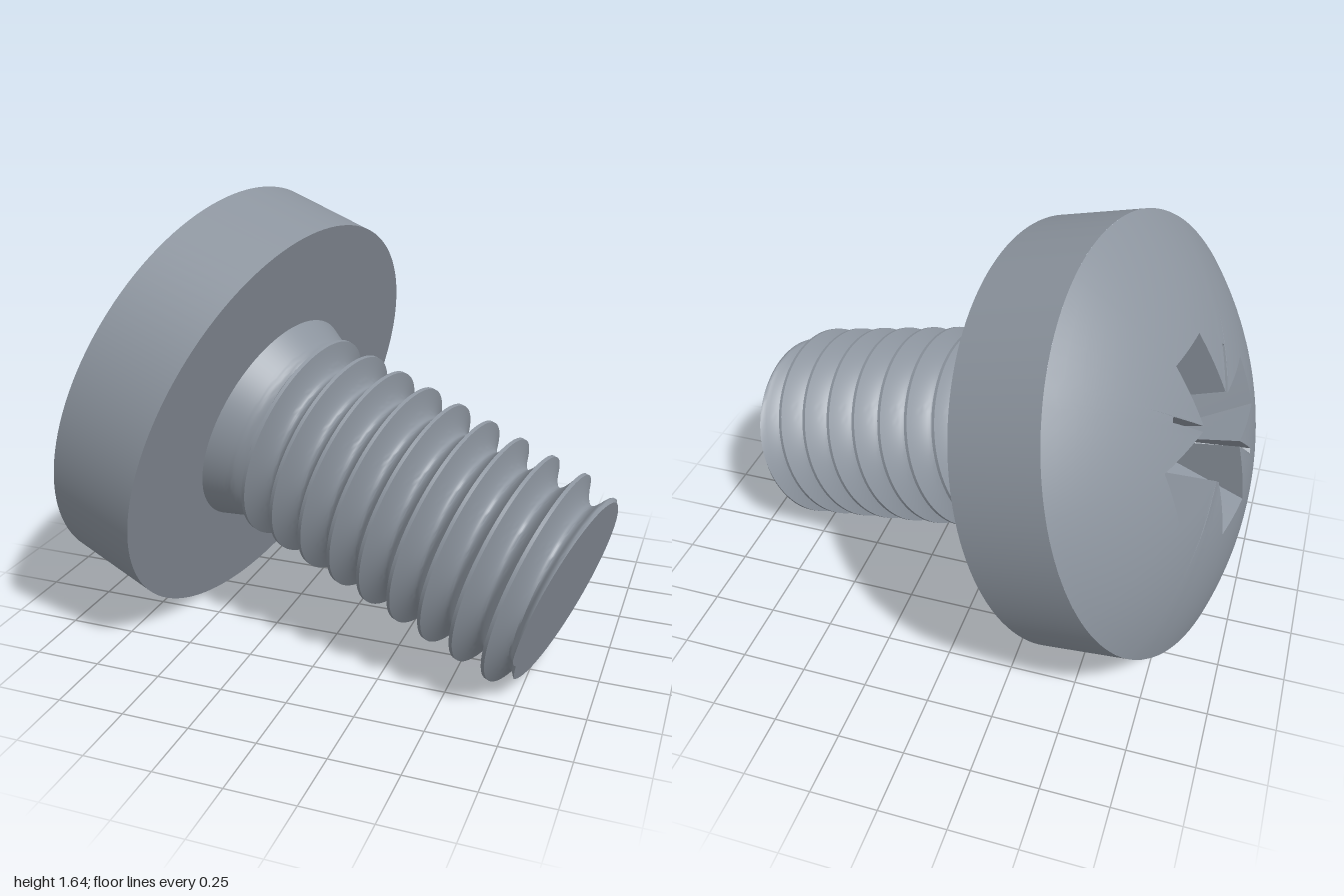
import * as THREE from 'three';
import { toCreasedNormals } from 'three/addons/utils/BufferGeometryUtils.js';

// Local frame: origin at the centre of the head's underside, +y runs along the shank to the tip
const HEAD_R = 0.806, HEAD_H = 0.355;
const DOME_R = 1.427, DOME_E = Math.sqrt(DOME_R ** 2 - HEAD_R ** 2);
const PITCH = 0.1295, CREST_R = 0.397, ROOT_R = 0.307, LENGTH = 1.295, CREST_T = 1.169;
const TAU = Math.PI * 2;

const polar = (r, phi, y) => new THREE.Vector3(r * Math.cos(phi), y, -r * Math.sin(phi));

// Surface through rows of points; rows run outward from the head's centre toward the tip
function loft(rows, crease = 0.6) {
  const cols = rows[0].length, index = [];
  const geo = new THREE.BufferGeometry().setFromPoints(rows.flat());
  for (let i = 0; i < rows.length - 1; i++) {
    for (let j = 0; j < cols - 1; j++) {
      const a = i * cols + j, b = a + 1, c = a + cols, d = c + 1;
      index.push(a, b, c, b, d, c);
    }
  }
  geo.setIndex(index);
  return toCreasedNormals(geo, crease);
}

// Cross-shaped outline with four thin diagonal slits, as [radius, angle] pairs
function crossOutline(arm, half, slit, e) {
  const corners = [];
  for (let q = 0; q < 4; q++) {
    const quarter = [[arm, -half], [arm, half], [half + 2 * e, half],
      [slit + e, slit - e], [slit - e, slit + e], [half, half + 2 * e]];
    for (const [x, y] of quarter) {
      corners.push(new THREE.Vector2(x, y).rotateAround(new THREE.Vector2(), q * Math.PI / 2));
    }
  }
  const pts = [];
  corners.forEach((p, i) => {
    const next = corners[(i + 1) % corners.length];
    for (let k = 0; k < 10; k++) {
      const m = p.clone().lerp(next, k / 10);
      pts.push([m.length(), Math.atan2(m.y, m.x)]);
    }
  });
  pts.push(pts[0]);
  return pts;
}

const domeY = (r) => -HEAD_H - (Math.sqrt(DOME_R ** 2 - r * r) - DOME_E);

// Radius of the threaded shank at angle phi and distance t from the head
function shankRadius(phi, t) {
  const p = (t - CREST_T) / PITCH - phi / TAU;
  const d = Math.abs(p - Math.round(p)) * 2;
  const s = Math.max(0, (d - 0.1) / 0.9);
  const thread = CREST_R - (CREST_R - ROOT_R) * (1 - (1 - s) ** 1.7);
  // Fillet under the head
  const fillet = 0.42 - 0.04 * Math.min(1, t / 0.09) - 0.09 * THREE.MathUtils.smoothstep(t, 0.09, 0.2);
  let r = t < 0.08 ? fillet : Math.max(thread, fillet);
  // Run-out to a round end, leaving a small notch where the groove breaks through
  const open = Math.max(0, 1 - Math.abs(phi - 2.3) / 0.3);
  const fade = THREE.MathUtils.smoothstep(t, LENGTH - 0.035, LENGTH) * 0.85 * (1 - open);
  r += (0.352 - r) * fade;
  return r;
}

export function createModel() {
  const steel = new THREE.MeshStandardMaterial({ color: 0x8c949e });
  steel.name = 'steel';
  const model = new THREE.Group();
  model.name = 'machineScrew';
  const screw = new THREE.Group();
  screw.name = 'screw';
  model.add(screw);
  const add = (name, geo) => {
    const mesh = new THREE.Mesh(geo, steel);
    mesh.name = name;
    screw.add(mesh);
  };

  // Domed head around the cross opening
  const rim = crossOutline(0.36, 0.105, 0.235, 0.007);
  const domeRows = [];
  for (let k = 0; k <= 12; k++) {
    domeRows.push(rim.map(([r0, phi]) => {
      const r = r0 + (HEAD_R - r0) * k / 12;
      return polar(r, phi, domeY(r));
    }));
  }
  add('headDome', loft(domeRows));

  // Driver recess: tapered walls down to a flat floor
  const floor = crossOutline(0.15, 0.085, 0.1, 0.004);
  const floorY = domeY(0) + 0.33;
  add('driverRecess', loft([
    floor.map(() => new THREE.Vector3(0, floorY, 0)),
    floor.map(([r, phi]) => polar(r, phi, floorY)),
    rim.map(([r, phi]) => polar(r, phi, domeY(r))),
  ], 0.3));

  // Head side wall and flat underside
  const ring = (r, y) => Array.from({ length: 129 }, (_, j) => polar(r, j / 128 * TAU, y));
  add('headSide', loft([ring(HEAD_R, -HEAD_H), ring(HEAD_R, 0)]));
  add('headUnderside', loft([ring(HEAD_R, 0), ring(0.3, 0)]));

  // Threaded shank: rows follow the helix so the crests stay clean
  const COLS = 96, STEPS = 20;
  const angles = Array.from({ length: COLS + 1 }, (_, j) => j / COLS * TAU);
  const turns = Math.ceil(LENGTH / PITCH) + 1;
  const start = CREST_T - (Math.floor(CREST_T / PITCH) + 2) * PITCH;
  const rows = [];
  for (let i = 0; i <= (turns + 2) * STEPS; i++) {
    rows.push(angles.map((phi) => {
      const t = THREE.MathUtils.clamp(start + PITCH * (i / STEPS + phi / TAU), 0, LENGTH);
      return polar(shankRadius(phi, t), phi, t);
    }));
  }
  add('threadedShank', loft(rows, 0.7));

  // Flat tip
  add('tip', loft([
    angles.map((phi) => polar(shankRadius(phi, LENGTH), phi, LENGTH)),
    angles.map(() => new THREE.Vector3(0, LENGTH, 0)),
  ]));

  // Tilt the screw so it rests on the head rim and the tip
  const axis = new THREE.Vector3(1, -0.338, 0.224).normalize();
  const up = new THREE.Vector3(-axis.y, axis.x, 0).normalize();
  const side = new THREE.Vector3().crossVectors(up, axis);
  screw.quaternion.setFromRotationMatrix(new THREE.Matrix4().makeBasis(up, axis, side));
  screw.position.set(-0.332, 0.766, 0.035);
  return model;
}
